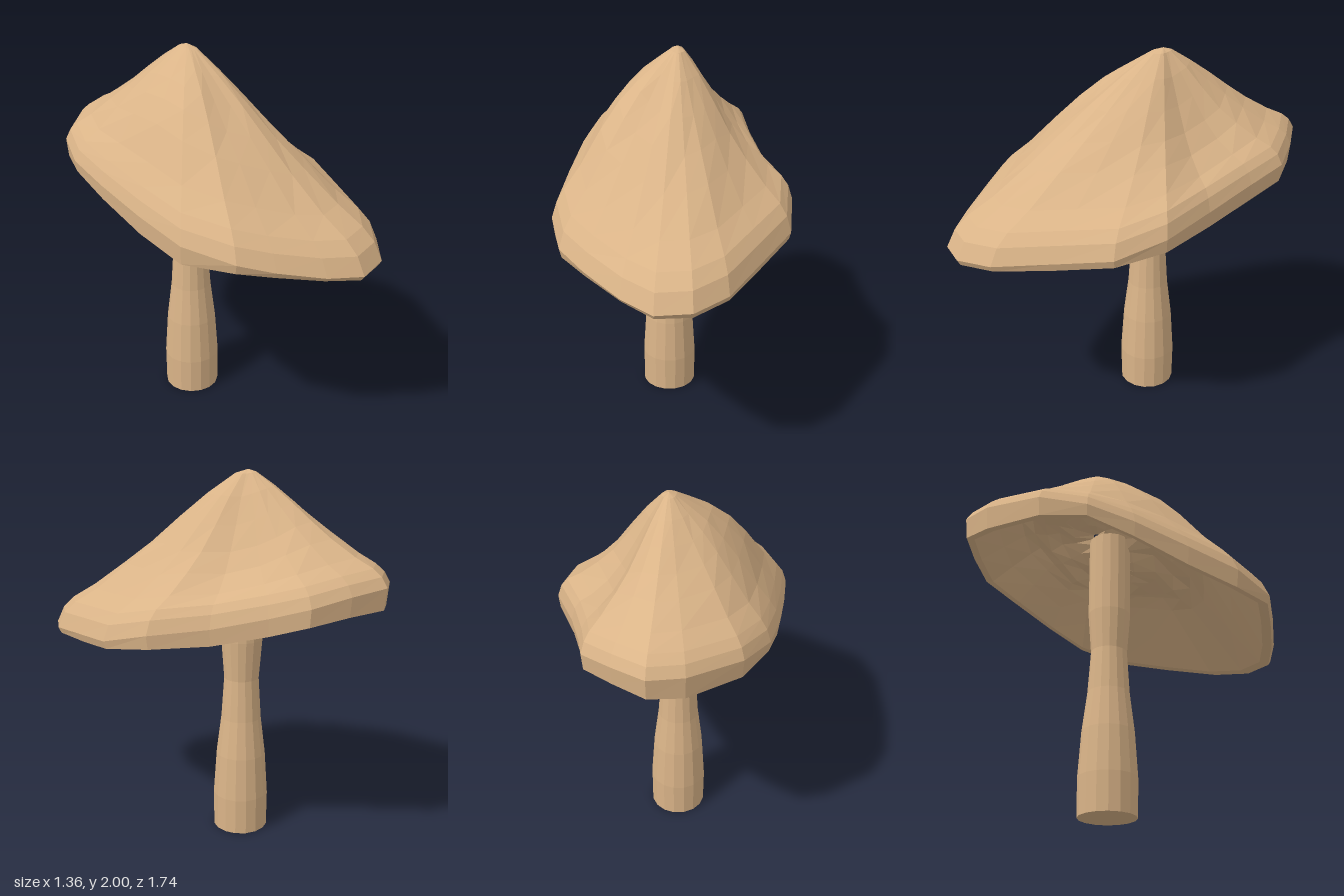
import * as THREE from 'three';

// Cap rim going round from the back: x, z, lower edge height, widest height
const RIM = [
  [-0.40, -0.87, 1.38, 1.49], [-0.20, -0.85, 1.37, 1.47], [0.00, -0.80, 1.34, 1.43],
  [0.13, -0.65, 1.28, 1.37], [0.33, -0.45, 1.215, 1.30], [0.57, -0.26, 1.19, 1.26],
  [0.68, -0.02, 1.15, 1.19], [0.67, 0.28, 1.11, 1.15], [0.66, 0.58, 1.08, 1.11],
  [0.58, 0.77, 1.06, 1.09], [0.43, 0.865, 1.055, 1.08], [0.24, 0.85, 1.08, 1.10],
  [0.00, 0.80, 1.12, 1.15], [-0.18, 0.75, 1.15, 1.20], [-0.38, 0.55, 1.14, 1.24],
  [-0.50, 0.28, 1.20, 1.30], [-0.61, 0.00, 1.29, 1.37], [-0.68, -0.24, 1.36, 1.42],
  [-0.67, -0.48, 1.36, 1.46], [-0.53, -0.75, 1.36, 1.48],
];
const APEX = [-0.08, 2.0, -0.175];

// Cross-sections: spread from the apex axis, rise from rim to apex
const UNDER = [[0.04, 0.38], [0.2, 0.36], [0.32, 0.38], [0.42, 0.35], [0.52, 0.37], [0.6, 0.32], [0.76, 0.17], [0.93, 0.005], [0.985, 0]];
const OVER = [[1, 0], [0.96, 0.1], [0.9, 0.17], [0.78, 0.26], [0.61, 0.42], [0.47, 0.56], [0.33, 0.71], [0.19, 0.855], [0.06, 0.975]];

function flat(geometry) {
  const g = geometry.toNonIndexed();
  g.computeVertexNormals();
  return g;
}

// One closed shell: gills, inner wall, rolled rim, then the humped top
function capGeometry() {
  const pos = [], index = [], n = RIM.length;
  const addRing = (s, h, top, j) => RIM.forEach(([x, z, low, high], i) => {
    const dx = x - APEX[0], dz = z - APEX[2];
    // The cap swells towards its front right and dips at its back left
    const side = (dz - dx) * Math.SQRT1_2 / Math.hypot(dx, dz);
    const hump = Math.sin(Math.PI * s) ** 2;
    let rise = h + (side > 0 ? 0.15 : 0.11) * side * Math.abs(side) * hump;
    if (top) rise += 0.008 * hump * Math.sin(i * 1.9 + j * 1.3);
    else if (s > 0.1 && s < 0.55) rise += 0.014 * Math.sin(i * 2.4 + j * 2.1); // crumpled gills
    const base = top ? high : low;
    pos.push(APEX[0] + dx * s, base + rise * (APEX[1] - base), APEX[2] + dz * s);
  });
  UNDER.forEach(([s, h], j) => addRing(s, h, false, j));
  OVER.forEach(([s, h], j) => addRing(s, h, true, j));
  const rings = UNDER.length + OVER.length;
  for (let j = 0; j < rings - 1; j++) {
    for (let i = 0; i < n; i++) {
      const k = (i + 1) % n, a = j * n + i, b = j * n + k;
      index.push(a, a + n, b, b, a + n, b + n);
    }
  }
  // Tip
  const tip = pos.length / 3, last = (rings - 1) * n;
  pos.push(...APEX);
  for (let i = 0; i < n; i++) index.push(last + i, tip, last + (i + 1) % n);
  const g = new THREE.BufferGeometry();
  g.setAttribute('position', new THREE.Float32BufferAttribute(pos, 3));
  g.setIndex(index);
  return flat(g);
}

// Waisted stem with a closed foot, running up into the cap
function stemGeometry() {
  const profile = [[0, 0], [0.15, 0], [0.152, 0.2], [0.136, 0.44], [0.11, 0.65], [0.095, 0.88], [0.112, 1.1], [0.112, 1.55]];
  const g = new THREE.LatheGeometry(profile.map(([r, y]) => new THREE.Vector2(r, y)), 16);
  g.translate(-0.095, 0, -0.11);
  return flat(g);
}

export function createModel() {
  const group = new THREE.Group();
  group.name = 'mushroom';
  const tan = new THREE.MeshStandardMaterial({ color: 0xdab488 });
  tan.name = 'tan';
  for (const [name, geometry] of [['cap', capGeometry()], ['stem', stemGeometry()]]) {
    const mesh = new THREE.Mesh(geometry, tan);
    mesh.name = name;
    group.add(mesh);
  }
  return group;
}
